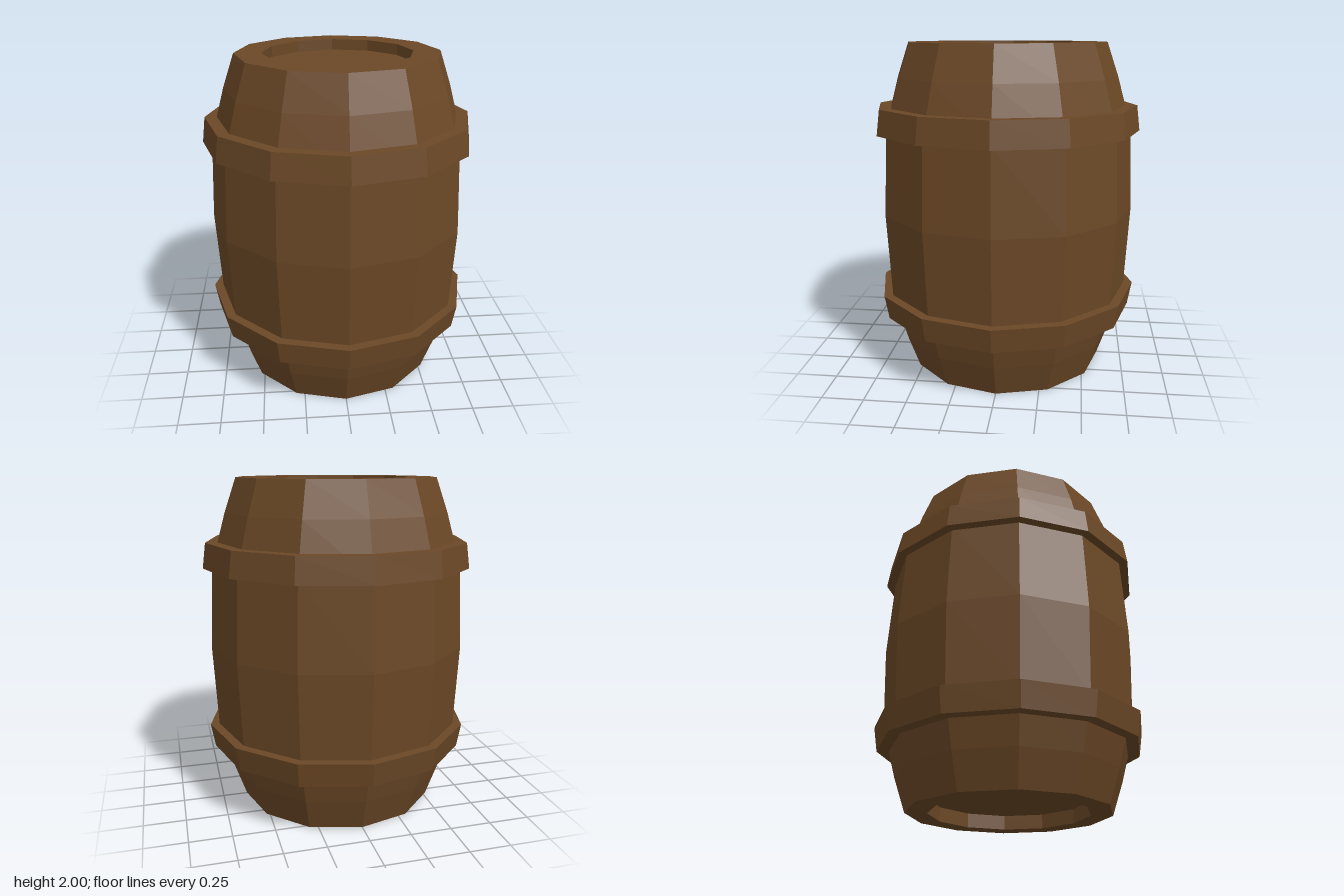
import * as THREE from 'three';

const SIDES = 12;

// Faceted solid of revolution from [radius, height] pairs, listed counterclockwise
function facetedLathe(profile) {
  const points = profile.map(([r, y]) => new THREE.Vector2(r, y));
  const geometry = new THREE.LatheGeometry(points, SIDES).toNonIndexed();
  geometry.computeVertexNormals();
  return geometry;
}

export function createModel() {
  const barrel = new THREE.Group();
  barrel.name = 'barrel';

  const wood = new THREE.MeshStandardMaterial({ color: 0x6b4826 });
  wood.name = 'brown wood';

  function add(name, geometry) {
    const mesh = new THREE.Mesh(geometry, wood);
    mesh.name = name;
    barrel.add(mesh);
    return mesh;
  }

  // Bulging staves, with the rims and recess walls at both ends
  add('staves', facetedLathe([
    [0.47, 0.085], [0.47, 0], [0.6, 0], [0.67, 0.2], [0.755, 0.5], [0.78, 1],
    [0.755, 1.5], [0.67, 1.8], [0.6, 2], [0.44, 2], [0.44, 1.935],
  ]));

  // Recessed end boards
  const lid = add('lid', new THREE.CircleGeometry(0.44, SIDES));
  lid.rotation.x = -Math.PI / 2;
  lid.position.y = 1.935;
  const base = add('base', new THREE.CircleGeometry(0.47, SIDES));
  base.rotation.x = Math.PI / 2;
  base.position.y = 0.085;

  // Hoops, wider on the side nearer the middle
  add('lowerHoop', facetedLathe([
    [0.69, 0.355], [0.785, 0.355], [0.81, 0.5], [0.73, 0.5], [0.69, 0.355],
  ]));
  add('upperHoop', facetedLathe([
    [0.73, 1.48], [0.81, 1.48], [0.79, 1.63], [0.69, 1.63], [0.73, 1.48],
  ]));

  return barrel;
}
